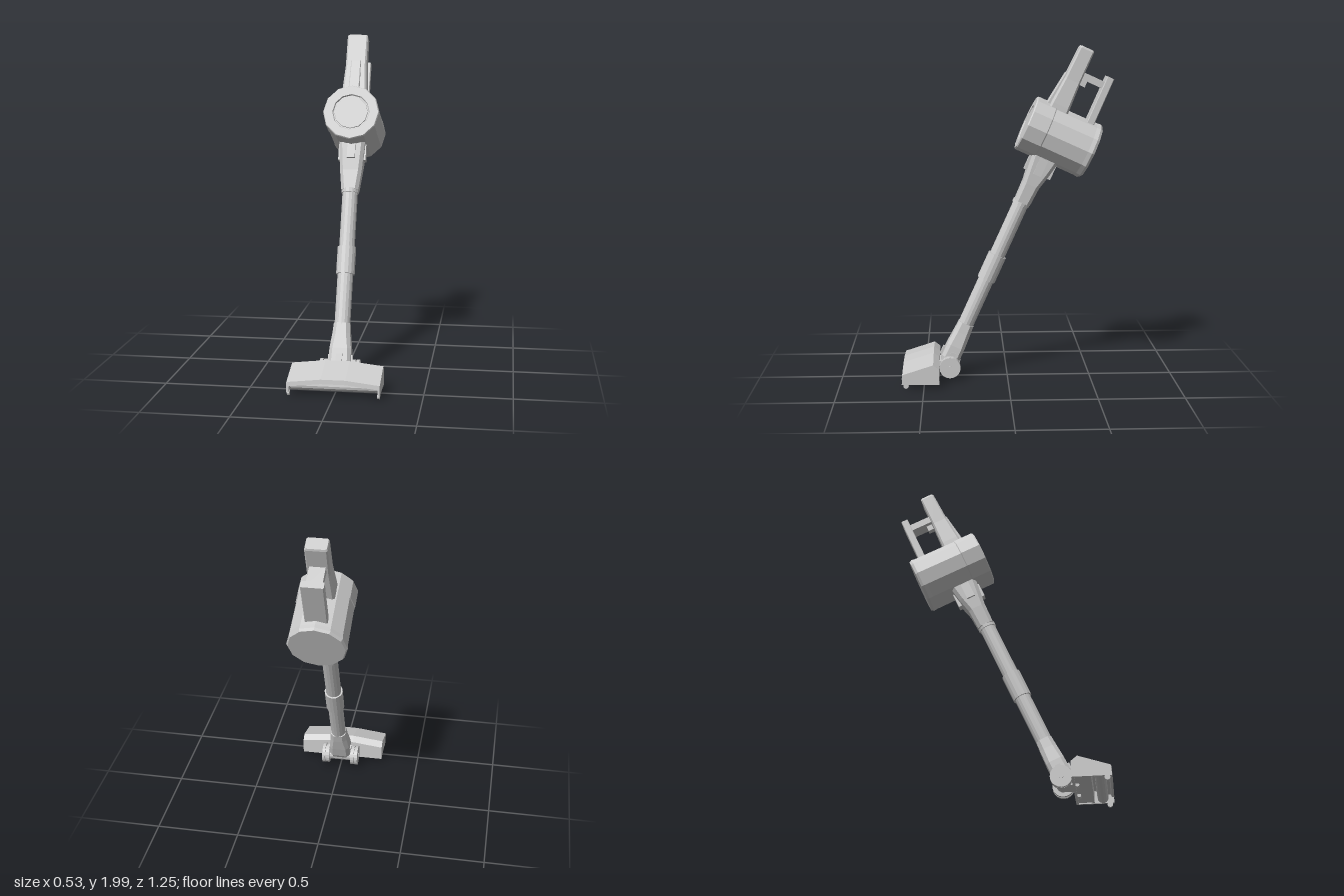
import * as THREE from 'three';

const mat = new THREE.MeshStandardMaterial({ color: 0xcccccc, flatShading: true, side: THREE.DoubleSide });

function add(parent, name, geo, x = 0, y = 0, z = 0) {
  const m = new THREE.Mesh(geo, mat);
  m.name = name;
  m.position.set(x, y, z);
  parent.add(m);
  return m;
}

// Skin over equal-length rings of [x, y, z]; end caps are fans round each ring's middle
function loft(rings, caps = true) {
  const n = rings[0].length, pos = rings.flat(2), idx = [];
  for (let i = 0; i < rings.length - 1; i++) {
    for (let j = 0; j < n; j++) {
      const a = i * n + j, b = i * n + (j + 1) % n;
      idx.push(a, b, b + n, a, b + n, a + n);
    }
  }
  if (caps) {
    for (const last of [false, true]) {
      const s = last ? (rings.length - 1) * n : 0;
      const ring = last ? rings[rings.length - 1] : rings[0];
      const c = pos.length / 3;
      for (let k = 0; k < 3; k++) pos.push(ring.reduce((t, p) => t + p[k], 0) / n);
      for (let j = 0; j < n; j++) {
        const a = s + j, b = s + (j + 1) % n;
        idx.push(...(last ? [a, b, c] : [b, a, c]));
      }
    }
  }
  const g = new THREE.BufferGeometry();
  g.setAttribute('position', new THREE.Float32BufferAttribute(pos, 3));
  g.setIndex(idx);
  g.computeVertexNormals();
  return g;
}

// Chamfered rectangle at height y: half width, back z, front z, chamfer
function ring(y, h, b, f, c) {
  return [[-h + c, y, f], [h - c, y, f], [h, y, f - c], [h, y, b + c],
    [h - c, y, b], [-h + c, y, b], [-h, y, b + c], [-h, y, f - c]];
}
const column = (sections) => loft(sections.map((s) => ring(...s)));

function cylinder(r, len, sides, axis = 'y') {
  const g = new THREE.CylinderGeometry(r, r, len, sides);
  if (axis === 'x') g.rotateZ(Math.PI / 2);
  return g;
}

// Leaning stick: wand, motor body and handle, built upright along y
function buildStick() {
  const g = new THREE.Group();
  g.name = 'stick';

  add(g, 'wand', cylinder(0.047, 0.92, 16), 0, 0.72, 0);
  add(g, 'wandSleeve', cylinder(0.056, 0.165, 16), 0, 0.737, 0);
  add(g, 'wandFoot', column([
    [0.07, 0.05, -0.04, 0.045, 0.015], [0.13, 0.066, -0.053, 0.058, 0.02],
    [0.21, 0.063, -0.053, 0.056, 0.02], [0.3, 0.052, -0.05, 0.05, 0.022], [0.36, 0.047, -0.046, 0.046, 0.02],
  ]));
  add(g, 'footLatch', new THREE.BoxGeometry(0.036, 0.05, 0.02), 0, 0.15, 0.06);
  for (const s of [-1, 1]) add(g, 'footRib', new THREE.BoxGeometry(0.012, 0.05, 0.03), s * 0.066, 0.15, 0);

  // Neck between wand and motor body
  add(g, 'neckCollar', cylinder(0.053, 0.025, 16), 0, 1.165, 0);
  add(g, 'neck', column([
    [1.17, 0.052, -0.052, 0.045, 0.02], [1.29, 0.066, -0.058, 0.047, 0.02],
    [1.38, 0.073, -0.08, 0.056, 0.02], [1.48, 0.08, -0.098, 0.066, 0.02],
  ]));
  for (const s of [-1, 1]) add(g, 'neckSideTab', new THREE.BoxGeometry(0.02, 0.1, 0.05), s * 0.074, 1.41, -0.01);
  add(g, 'neckFrontTab', new THREE.BoxGeometry(0.048, 0.1, 0.02), 0, 1.41, 0.062);
  add(g, 'neckBackTab', new THREE.BoxGeometry(0.048, 0.1, 0.02), 0, 1.41, -0.089);

  // Twelve-sided motor body lying across the stick, with a seam and a recessed front disc
  const profile = [[0, -0.255], [0.162, -0.255], [0.171, -0.24], [0.168, -0.215], [0.166, 0.045],
    [0.17, 0.05], [0.17, 0.165], [0.165, 0.172], [0.113, 0.172], [0.108, 0.164], [0.102, 0.164],
    [0.1, 0.168], [0, 0.168]];
  const body = add(g, 'motorBody',
    new THREE.LatheGeometry(profile.map((p) => new THREE.Vector2(...p)), 12), 0, 1.613, 0);
  body.rotation.x = Math.PI / 2;

  // Handle
  add(g, 'handle', column([
    [1.7, 0.077, -0.03, 0.095, 0.012], [1.79, 0.074, -0.026, 0.09, 0.012],
    [1.95, 0.064, -0.02, 0.076, 0.01], [2.145, 0.063, -0.018, 0.069, 0.008], [2.157, 0.059, -0.014, 0.065, 0.008],
  ]));
  add(g, 'handleRidge', column([
    [1.74, 0.034, 0.03, 0.114, 0.005], [1.8, 0.033, 0.03, 0.107, 0.005], [1.98, 0.03, 0.03, 0.083, 0.004],
  ]));
  add(g, 'rearPost', column([
    [1.73, 0.063, -0.195, -0.15, 0.004], [2.057, 0.063, -0.191, -0.148, 0.004],
  ]));
  add(g, 'crossbar', new THREE.BoxGeometry(0.09, 0.042, 0.15), 0, 2.0, -0.085);
  add(g, 'trigger', new THREE.BoxGeometry(0.036, 0.045, 0.035), 0, 1.965, -0.04);

  g.rotation.x = -0.424;
  g.position.z = 0.396;
  return g;
}

// Floor head: an open-bottomed shell with a crowned lid, end plates and roller
function buildHead() {
  const g = new THREE.Group();
  g.name = 'floorHead';
  const section = [[0.41, 0.022], [0.41, 0.135], [0.445, 0.163], [0.627, 0.105], [0.63, 0.08],
    [0.616, 0.08], [0.61, 0.094], [0.445, 0.14], [0.425, 0.12], [0.425, 0.022]];
  const shell = [-0.262, -0.07, 0.07, 0.262].map((x) => section.map(([z, y]) =>
    [x, y < 0.05 ? y : y - (Math.abs(x) > 0.1 ? 0.022 : 0), z]));
  add(g, 'headShell', loft(shell, false));

  // End plates follow the lowered outer profile
  const side = new THREE.Shape([[0.41, 0.022], [0.41, 0.113], [0.445, 0.141], [0.627, 0.083], [0.63, 0.025]]
    .map(([z, y]) => new THREE.Vector2(-z, y)));
  for (const s of [-1, 1]) {
    const plate = new THREE.ExtrudeGeometry(side, { depth: 0.012, bevelEnabled: false });
    plate.rotateY(Math.PI / 2);
    add(g, 'endPlate', plate, s * 0.258 - 0.006, 0, 0);
    add(g, 'caster', cylinder(0.016, 0.014, 12, 'x'), s * 0.256, 0.016, 0.605);
    add(g, 'smallRoller', cylinder(0.012, 0.04, 10, 'x'), s * 0.1, 0.024, 0.435);
  }
  add(g, 'brushRoller', cylinder(0.032, 0.5, 14, 'x'), 0, 0.056, 0.565);
  add(g, 'innerDivider', new THREE.BoxGeometry(0.51, 0.07, 0.012), 0, 0.062, 0.51);
  add(g, 'solePlate', new THREE.BoxGeometry(0.51, 0.012, 0.09), 0, 0.036, 0.462);
  return g;
}

// Rear wheels on an axle; each wheel is two discs with a groove between them
function buildWheels() {
  const g = new THREE.Group();
  g.name = 'rearWheels';
  const y = 0.078, z = 0.347;
  add(g, 'axle', cylinder(0.038, 0.2, 16, 'x'), 0, y, z);
  add(g, 'headLink', new THREE.BoxGeometry(0.13, 0.07, 0.09), 0, 0.075, 0.38);
  for (const s of [-1, 1]) {
    add(g, 'innerDisc', cylinder(0.062, 0.022, 20, 'x'), s * 0.081, y, z);
    add(g, 'outerDisc', cylinder(0.063, 0.018, 20, 'x'), s * 0.107, y, z);
    add(g, 'wheelCore', cylinder(0.052, 0.03, 20, 'x'), s * 0.094, y, z);
    add(g, 'hub', cylinder(0.014, 0.006, 12, 'x'), s * 0.117, y, z);
  }
  return g;
}

export function createModel() {
  const model = new THREE.Group();
  model.name = 'stickVacuum';
  model.add(buildStick(), buildHead(), buildWheels());
  return model;
}
